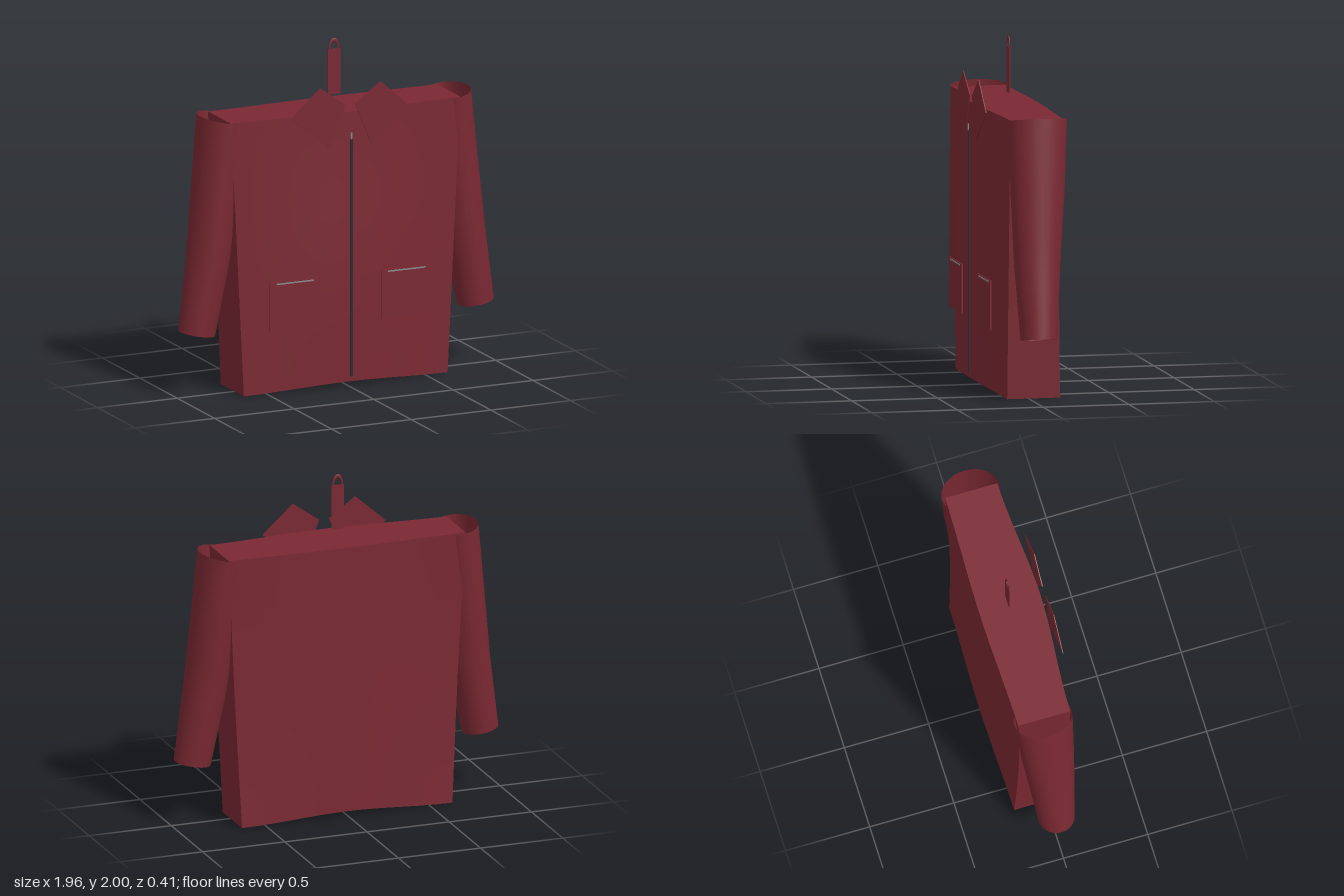
import * as THREE from 'three';

const cloth = new THREE.MeshStandardMaterial({ color: 0x7a2832, side: THREE.DoubleSide });
const dark = new THREE.MeshStandardMaterial({ color: 0x2a2a2c });
const metal = new THREE.MeshStandardMaterial({ color: 0x888888 });

function add(parent, name, geometry, material = cloth) {
  const mesh = new THREE.Mesh(geometry, material);
  mesh.name = name;
  parent.add(mesh);
  return mesh;
}

function addBox(parent, name, size, pos, material) {
  const mesh = add(parent, name, new THREE.BoxGeometry(...size), material);
  mesh.position.set(...pos);
  return mesh;
}

// Closed body: tapers to the hem, bulges at the centre, hem rises in the middle
function torsoGeometry() {
  const geo = new THREE.BoxGeometry(2, 1, 2, 24, 16, 2);
  const p = geo.attributes.position;
  for (let i = 0; i < p.count; i++) {
    const u = p.getX(i), t = p.getY(i) + 0.5, s = (p.getZ(i) + 1) / 2;
    const bump = (1 + Math.cos(Math.PI * u)) / 2;
    const front = 0.125 + bump * (0.053 + 0.013 * Math.sin(t * Math.PI * 1.45));
    const back = -0.185 + 0.015 * Math.sin(t * Math.PI) - bump * (0.015 + 0.015 * Math.sin(t * Math.PI));
    const hem = 0.03 * bump;
    p.setXYZ(i, u * (0.64 + 0.08 * t), hem + (1.61 - hem) * t, back + (front - back) * s);
  }
  geo.computeVertexNormals();
  return geo;
}

// Open sleeve lofted through tilted elliptical rings: [x, y, z, radiusX, radiusZ]
function sleeveGeometry() {
  const rings = [
    [0.715, 1.61, -0.035, 0.125, 0.17],
    [0.755, 1.2, -0.025, 0.127, 0.155],
    [0.802, 0.8, -0.012, 0.122, 0.133],
    [0.875, 0.367, -0.005, 0.105, 0.105],
  ];
  const at = (t, k) => {
    const f = t * (rings.length - 1), i = Math.min(Math.floor(f), rings.length - 2);
    return THREE.MathUtils.lerp(rings[i][k], rings[i + 1][k], f - i);
  };
  const geo = new THREE.CylinderGeometry(1, 1, 1, 32, 12, true);
  const p = geo.attributes.position;
  for (let i = 0; i < p.count; i++) {
    const t = 0.5 - p.getY(i), cx = p.getX(i), cz = p.getZ(i);
    const dx = cx * at(t, 3);
    p.setXYZ(i, at(t, 0) + dx, at(t, 1) + dx * 0.165, at(t, 2) + cz * at(t, 4));
  }
  geo.computeVertexNormals();
  return geo;
}

// Flat four-cornered collar flap
function collarGeometry() {
  const shape = new THREE.Shape([[0.19, 1.775], [0.03, 1.66], [0.13, 1.42], [0.375, 1.61]]
    .map(([x, y]) => new THREE.Vector2(x, y)));
  return new THREE.ExtrudeGeometry(shape, { depth: 0.005, bevelEnabled: false }).translate(0, 0, 0.183);
}

export function createModel() {
  const jacket = new THREE.Group();
  jacket.name = 'jacket';

  add(jacket, 'torso', torsoGeometry());

  // Mirrored parts
  for (const [side, sign] of [['left', 1], ['right', -1]]) {
    const half = new THREE.Group();
    half.name = side + 'Half';
    half.scale.x = sign;
    jacket.add(half);
    add(half, side + 'Sleeve', sleeveGeometry());
    add(half, side + 'Collar', collarGeometry());
    addBox(half, side + 'Pocket', [0.32, 0.285, 0.008], [0.352, 0.522, 0.191], cloth);
    addBox(half, side + 'PocketZip', [0.235, 0.008, 0.004], [0.35, 0.655, 0.196], metal);
  }

  // Front zip and its pull
  addBox(jacket, 'zip', [0.016, 1.4, 0.005], [0, 0.765, 0.2], dark);
  addBox(jacket, 'zipPull', [0.012, 0.038, 0.006], [0, 1.478, 0.202], metal);

  // Hanging strap with a loop on top
  addBox(jacket, 'hangerStrap', [0.076, 0.265, 0.006], [0, 1.802, -0.032], cloth);
  const loop = add(jacket, 'hangerLoop', new THREE.TorusGeometry(0.028, 0.006, 8, 24, Math.PI));
  loop.scale.set(1, 2, 0.6);
  loop.position.set(0, 1.932, -0.032);

  return jacket;
}
